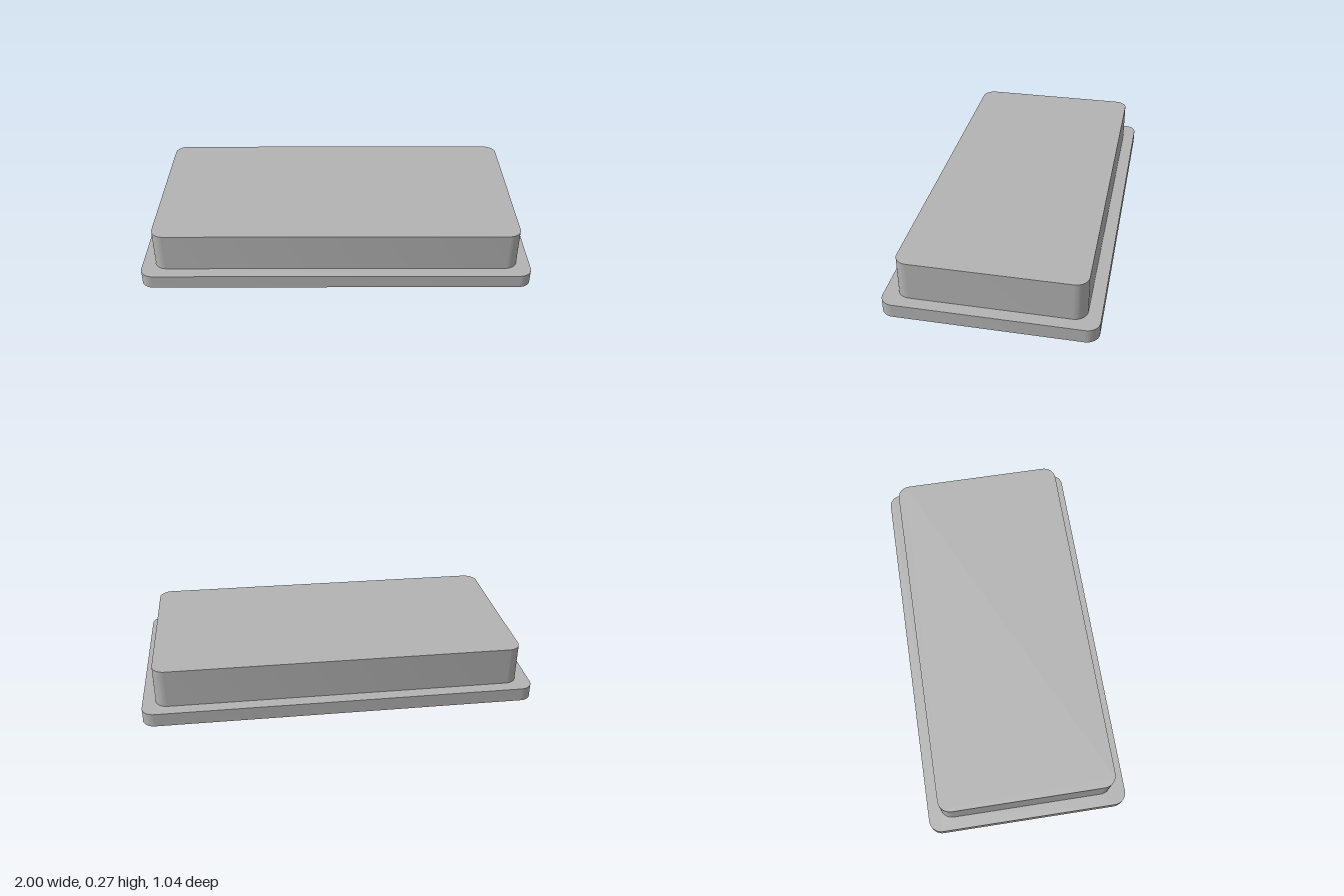
import * as THREE from 'three';
import { mergeGeometries, toCreasedNormals } from 'three/addons/utils/BufferGeometryUtils.js';

const FLANGE = { w: 2, d: 1.04, r: 0.065 };
const BODY = { w: 1.87, d: 0.91, r: 0.065 };
const FLANGE_TOP = 0.07, BODY_TOP = 0.27;
const HOLE_R = 0.095, HOLE_DEPTH = 0.2;

// Rounded rectangle outline, optionally with a hole
function outline({ w, d, r }, hole) {
  const x = w / 2 - r, y = d / 2 - r, q = Math.PI / 2;
  const s = new THREE.Shape();
  s.absarc(x, y, r, 0, q);
  s.absarc(-x, y, r, q, 2 * q);
  s.absarc(-x, -y, r, 2 * q, 3 * q);
  s.absarc(x, -y, r, 3 * q, 4 * q);
  s.closePath();
  if (hole) s.holes.push(hole);
  return s;
}

// Flat face at height y, facing up or down
function face(shape, y, up) {
  return new THREE.ShapeGeometry(shape, 24).toNonIndexed()
    .rotateX(up ? -Math.PI / 2 : Math.PI / 2).translate(0, y, 0);
}

// Side band only, without the end caps
function wall(size, y0, y1) {
  const g = new THREE.ExtrudeGeometry(outline(size), { depth: y1 - y0, bevelEnabled: false, curveSegments: 24 });
  const { start, count } = g.groups[1];
  const out = new THREE.BufferGeometry();
  for (const [name, a] of Object.entries(g.attributes)) {
    const n = a.itemSize;
    out.setAttribute(name, new THREE.BufferAttribute(a.array.slice(start * n, (start + count) * n), n));
  }
  return out.rotateX(-Math.PI / 2).translate(0, y0, 0);
}

export function createModel() {
  const group = new THREE.Group();
  const grey = new THREE.MeshStandardMaterial({ color: 0xb3b3b3 });
  grey.name = 'light grey';

  const add = (name, parts) => {
    const mesh = new THREE.Mesh(toCreasedNormals(mergeGeometries(parts), 0.6), grey);
    mesh.name = name;
    group.add(mesh);
  };

  // Base flange: underside with round opening, edge band, and ledge around the body
  const opening = new THREE.Path().absarc(0, 0, HOLE_R, 0, Math.PI * 2);
  add('baseFlange', [
    face(outline(FLANGE, opening), 0, false),
    wall(FLANGE, 0, FLANGE_TOP),
    face(outline(FLANGE, outline(BODY)), FLANGE_TOP, true),
  ]);

  // Raised body
  add('body', [wall(BODY, FLANGE_TOP, BODY_TOP), face(outline(BODY), BODY_TOP, true)]);

  // Blind hole in the underside
  const profile = [[0, HOLE_DEPTH], [HOLE_R, HOLE_DEPTH], [HOLE_R, 0]].map(p => new THREE.Vector2(...p));
  add('blindHole', [new THREE.LatheGeometry(profile, 48).toNonIndexed()]);

  return group;
}
